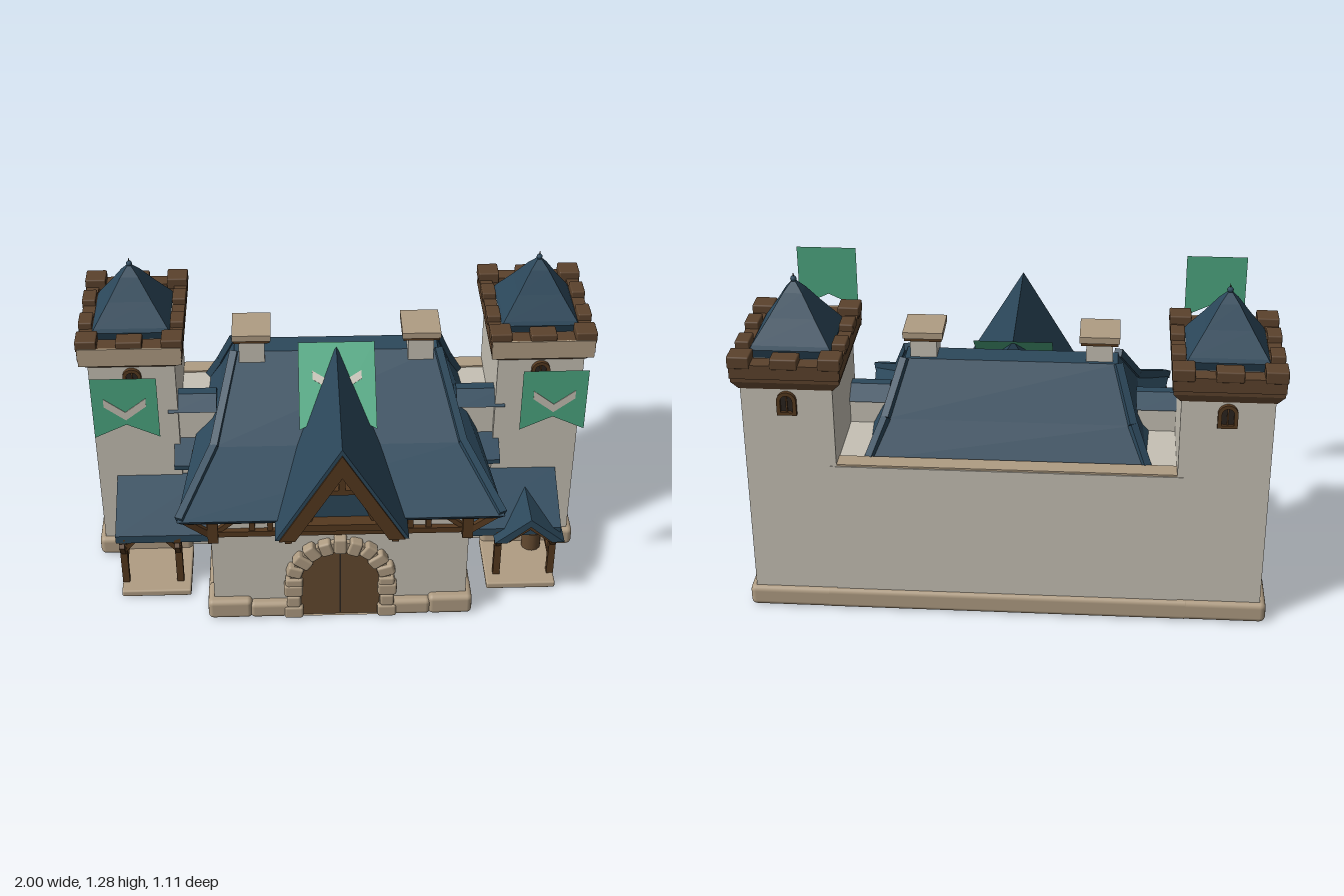
import * as THREE from 'three';
import { RoundedBoxGeometry } from 'three/addons/geometries/RoundedBoxGeometry.js';

const mat = (name, color, side = THREE.FrontSide) => {
  const m = new THREE.MeshStandardMaterial({ color, side });
  m.name = name;
  return m;
};

export function createModel() {
  const plaster = mat('plaster', 0xc6c1b5), stone = mat('stone', 0xb09d83);
  const slate = mat('slate roof', 0x2c485b), timber = mat('timber', 0x55391f);
  const rampart = mat('rampart stone', 0x5b422c), doorWood = mat('door wood', 0x644a30);
  const dark = mat('dark opening', 0x2b241f), cloth = mat('green cloth', 0x4ca680, THREE.DoubleSide);
  const model = new THREE.Group();
  model.name = 'gatehouse';

  const add = (parent, name, geo, m, x = 0, y = 0, z = 0) => {
    const mesh = new THREE.Mesh(geo, m);
    mesh.name = name;
    mesh.position.set(x, y, z);
    parent.add(mesh);
    return mesh;
  };
  // box given by its limits, optionally with rounded edges
  const box = (p, name, m, x0, x1, y0, y1, z0, z1, r = 0) => {
    const s = [x1 - x0, y1 - y0, z1 - z0];
    return add(p, name, r ? new RoundedBoxGeometry(...s, 2, r) : new THREE.BoxGeometry(...s), m,
      (x0 + x1) / 2, (y0 + y1) / 2, (z0 + z1) / 2);
  };
  // square timber between two points
  const beam = (p, name, m, a, b, w = 0.025) => {
    const A = new THREE.Vector3(...a), B = new THREE.Vector3(...b);
    const mesh = add(p, name, new THREE.BoxGeometry(w, w, A.distanceTo(B)), m);
    mesh.position.copy(A).add(B).multiplyScalar(0.5);
    mesh.lookAt(B);
    return mesh;
  };
  // flat-faced solid through four-cornered rings, lowest ring first
  const loft = (rings) => {
    const pos = [];
    const quad = (a, b, c, d) => pos.push(...a, ...b, ...c, ...a, ...c, ...d);
    for (let i = 0; i + 1 < rings.length; i++) {
      for (let j = 0; j < 4; j++) {
        const k = (j + 1) % 4;
        quad(rings[i][j], rings[i][k], rings[i + 1][k], rings[i + 1][j]);
      }
    }
    quad(...rings[rings.length - 1]);
    quad(...[...rings[0]].reverse());
    const g = new THREE.BufferGeometry();
    g.setAttribute('position', new THREE.Float32BufferAttribute(pos, 3));
    g.computeVertexNormals();
    return g;
  };
  const ring = (x, y, zf, zb, xb = x, yb = y) => [[-x, y, zf], [x, y, zf], [xb, yb, zb], [-xb, yb, zb]];
  const poly = (pts) => new THREE.Shape(pts.map(([x, y]) => new THREE.Vector2(x, y)));
  const extrude = (shape, depth) => new THREE.ExtrudeGeometry(shape, { depth, bevelEnabled: false, curveSegments: 10 });
  // round-headed opening, standing on y = 0
  const archShape = (r, h) => {
    const s = new THREE.Shape();
    s.moveTo(-r, 0); s.lineTo(r, 0); s.lineTo(r, h - r);
    s.absarc(0, h - r, r, 0, Math.PI, false);
    s.lineTo(-r, 0);
    return s;
  };
  const chevron = (w, y0, top, t, drop) => poly([[-w, y0], [-w + t, y0], [0, top - drop], [w - t, y0], [w, y0], [0, top]]);

  // main hall with its plinth and the rear curtain wall
  const hall = new THREE.Group(); hall.name = 'hall'; model.add(hall);
  box(hall, 'hallWalls', plaster, -0.5, 0.5, 0.01, 0.56, -0.5, 0.35);
  box(hall, 'curtainWall', plaster, -0.65, 0.65, 0.01, 0.62, -0.535, -0.07);
  box(hall, 'wallWalk', stone, -0.63, 0.63, 0.618, 0.627, -0.53, -0.46);
  box(hall, 'rearPlinth', stone, -0.7, 0.7, 0, 0.085, -0.55, -0.3, 0.02);
  box(hall, 'underside', stone, -0.5, 0.5, 0, 0.02, -0.5, 0.36);
  for (const s of [-1, 1]) {
    [[0.17, 0.36, 0.075], [0.35, 0.525, 0.09]].forEach(([a, b, h]) =>
      box(hall, 'frontPlinth', stone, Math.min(s * a, s * b), Math.max(s * a, s * b), 0, h, 0.25, 0.385, 0.02));
    box(hall, 'sidePlinth', stone, s * 0.5 - 0.025, s * 0.5 + 0.025, 0, 0.08, -0.06, 0.37, 0.02);
  }

  // arched gate with a surround of rough stones
  const gate = new THREE.Group(); gate.name = 'gate'; model.add(gate);
  add(gate, 'gateDoor', extrude(archShape(0.16, 0.335), 0.02), doorWood, 0, 0, 0.345);
  box(gate, 'doorGap', dark, -0.003, 0.003, 0.01, 0.33, 0.36, 0.368);
  const surround = archShape(0.2, 0.375);
  surround.holes.push(archShape(0.155, 0.33));
  add(gate, 'gateSurround', extrude(surround, 0.035), stone, 0, 0, 0.34);
  for (let i = 0; i <= 10; i++) {
    const a = Math.PI * i / 10, r = 0.182 + (i % 2) * 0.006;
    const v = add(gate, 'archStone', new RoundedBoxGeometry(0.062 + (i % 3) * 0.006, 0.05, 0.06, 1, 0.01), stone,
      Math.cos(a) * r, 0.175 + Math.sin(a) * r, 0.358);
    v.rotation.z = a;
  }
  for (const s of [-1, 1]) for (let i = 0; i < 3; i++)
    add(gate, 'jambStone', new RoundedBoxGeometry(i % 2 ? 0.055 : 0.075, 0.056, 0.065, 1, 0.01), stone, s * 0.185, 0.03 + i * 0.056, 0.36);

  // half-timbered band under the eaves
  const frame = new THREE.Group(); frame.name = 'timberFrame'; model.add(frame);
  box(frame, 'frontSill', timber, -0.51, 0.51, 0.415, 0.44, 0.34, 0.372);
  box(frame, 'frontPlate', timber, -0.58, 0.58, 0.52, 0.545, 0.35, 0.42);
  for (const s of [-1, 1]) {
    for (const x of [0.16, 0.27, 0.34]) box(frame, 'frontStud', timber, s * x - 0.011, s * x + 0.011, 0.43, 0.54, 0.34, 0.366);
    box(frame, 'cornerPost', timber, s * 0.49 - 0.02, s * 0.49 + 0.02, 0.4, 0.54, 0.345, 0.39);
    beam(frame, 'frontBrace', timber, [s * 0.47, 0.44, 0.357], [s * 0.36, 0.53, 0.357], 0.02);
    beam(frame, 'eaveBracket', timber, [s * 0.5, 0.43, 0.37], [s * 0.6, 0.53, 0.4], 0.025);
    beam(frame, 'gableBracket', timber, [s * 0.2, 0.42, 0.36], [s * 0.2, 0.535, 0.53], 0.028);
    beam(frame, 'gableBeam', timber, [s * 0.2, 0.53, 0.34], [s * 0.2, 0.53, 0.54], 0.025);
    box(frame, 'sideSill', timber, s * 0.505 - 0.012, s * 0.505 + 0.012, 0.425, 0.445, -0.05, 0.36);
    box(frame, 'sidePlate', timber, s * 0.54 - 0.04, s * 0.54 + 0.04, 0.52, 0.545, -0.02, 0.42);
    for (const z of [0.27, 0.15, 0.09]) box(frame, 'sideStud', timber, s * 0.505 - 0.01, s * 0.505 + 0.01, 0.43, 0.53, z - 0.012, z + 0.012);
    beam(frame, 'sideBrace', timber, [s * 0.507, 0.44, 0.34], [s * 0.507, 0.53, 0.28], 0.018);
  }

  // hipped main roof with flared eaves
  const roof = new THREE.Group(); roof.name = 'mainRoof'; model.add(roof);
  add(roof, 'roofSlopes', loft([
    ring(0.6, 0.53, 0.43, -0.45, 0.51, 0.57), ring(0.62, 0.555, 0.45, -0.46, 0.52, 0.61),
    ring(0.48, 0.69, 0.16, -0.37, 0.46, 0.74), ring(0.4, 0.93, -0.14, -0.24)]), slate);
  for (const s of [-1, 1]) {
    beam(roof, 'hipRidge', slate, [s * 0.61, 0.56, 0.44], [s * 0.48, 0.695, 0.16], 0.03);
    beam(roof, 'hipRidge', slate, [s * 0.48, 0.695, 0.16], [s * 0.4, 0.93, -0.14], 0.03);
    beam(roof, 'hipRidge', slate, [s * 0.515, 0.615, -0.45], [s * 0.46, 0.745, -0.37], 0.03);
    beam(roof, 'hipRidge', slate, [s * 0.46, 0.745, -0.37], [s * 0.4, 0.93, -0.24], 0.03);
    // chimney
    box(roof, 'chimneyShaft', plaster, s * 0.33 - 0.05, s * 0.33 + 0.05, 0.75, 1.015, -0.225, -0.105);
    box(roof, 'chimneyCap', stone, s * 0.33 - 0.075, s * 0.33 + 0.075, 1.015, 1.04, -0.25, -0.08);
    box(roof, 'chimneyBand', timber, s * 0.33 - 0.07, s * 0.33 + 0.07, 1.003, 1.016, -0.245, -0.085);
    // small roofs joining hall and tower
    const mid = s * 0.57;
    box(roof, 'linkWall', plaster, mid - 0.09, mid + 0.09, 0.5, 0.725, -0.18, -0.07);
    add(roof, 'linkRoof', extrude(poly([[-0.08, 0.715], [0.08, 0.715], [0.02, 0.765], [-0.02, 0.765]]), 0.19), slate,
      mid - 0.095, 0, -0.115).rotation.y = Math.PI / 2;
    add(roof, 'linkEave', extrude(poly([[-0.04, 0.49], [0.09, 0.49], [0.09, 0.58], [-0.04, 0.51]]), 0.16), slate,
      mid - 0.08, 0, 0).rotation.y = Math.PI / 2;
  }

  // front gable
  const gable = new THREE.Group(); gable.name = 'frontGable'; model.add(gable);
  add(gable, 'gableRoof', extrude(chevron(0.25, 0.54, 0.957, 0.04, 0.065), 0.67), slate, 0, 0, -0.12);
  add(gable, 'bargeBoards', extrude(chevron(0.235, 0.54, 0.932, 0.06, 0.1), 0.025), timber, 0, 0, 0.532);
  add(gable, 'gablePanel', extrude(poly([[-0.22, 0.54], [0.22, 0.54], [0, 0.91]]), 0.02), slate, 0, 0, 0.43);
  box(gable, 'gableTie', timber, -0.2, 0.2, 0.54, 0.57, 0.45, 0.5);
  box(gable, 'gableCollar', timber, -0.09, 0.09, 0.735, 0.757, 0.45, 0.53);
  for (const s of [-1, 1]) beam(gable, 'gableStrut', timber, [s * 0.13, 0.56, 0.465], [s * 0.05, 0.75, 0.465], 0.025);
  box(gable, 'kingPost', timber, -0.012, 0.012, 0.74, 0.9, 0.45, 0.53);

  // swallow-tailed banners with a plain V stripe
  const banner = (name, w, h) => {
    const g = new THREE.Group(); g.name = name; model.add(g);
    add(g, 'bannerCloth', new THREE.ShapeGeometry(poly([[-w, -h], [0, -h * 0.78], [w, -h], [w, 0], [-w, 0]])), cloth);
    const a = w * 0.64, y = -h * 0.33;
    add(g, 'bannerStripe', extrude(poly([[-a, y], [-a, y - 0.035], [0, y - 0.095], [a, y - 0.035], [a, y], [0, y - 0.06]]), 0.002), plaster, 0, 0, 0.002);
    return g;
  };
  for (const s of [-1, 1]) banner('towerBanner', 0.12, 0.26).position.set(s * 0.785, 1.135, 0.335);
  const roofBanner = banner('roofBanner', 0.15, 0.355);
  roofBanner.position.set(0, 0.965, -0.144);
  roofBanner.rotation.x = -0.895;

  // arched window facing +z, standing on y = 0
  const windowAt = (p, x, y, z, turn) => {
    const g = new THREE.Group(); g.name = 'window';
    const outer = archShape(0.036, 0.092);
    const hole = archShape(0.022, 0.066);
    outer.holes.push(new THREE.Path(hole.getPoints(8).map((v) => v.add(new THREE.Vector2(0, 0.012)))));
    add(g, 'windowFrame', extrude(outer, 0.018), timber);
    add(g, 'windowOpening', extrude(archShape(0.03, 0.085), 0.006), dark);
    box(g, 'windowBar', timber, -0.003, 0.003, 0.01, 0.08, 0, 0.012);
    g.position.set(x, y, z);
    g.rotation.y = turn;
    p.add(g);
  };

  // corner towers, built around their own centre
  for (const s of [-1, 1]) {
    const t = new THREE.Group(); t.name = s > 0 ? 'leftTower' : 'rightTower';
    t.position.set(s * 0.795, 0, -0.285);
    model.add(t);
    box(t, 'towerShaft', plaster, -0.168, 0.168, 0.01, 0.99, -0.247, 0.24);
    box(t, 'towerPlinth', stone, -0.192, 0.192, 0, 0.085, -0.265, 0.26, 0.022);
    add(t, 'corbel', loft([ring(0.172, 0.935, 0.245, -0.25), ring(0.198, 0.965, 0.268, -0.262), ring(0.198, 0.985, 0.268, -0.262)]), rampart);
    box(t, 'frontBand', stone, -0.198, 0.198, 0.958, 1.035, 0.266, 0.274);
    box(t, 'towerDeck', plaster, -0.16, 0.16, 0.985, 1.0, -0.2, 0.2);
    for (const e of [-1, 1]) {
      box(t, 'parapetSide', rampart, e * 0.176 - 0.025, e * 0.176 + 0.025, 0.98, 1.035, -0.264, 0.27);
      box(t, 'parapetEnd', rampart, -0.198, 0.198, 0.98, 1.035, e * 0.235 - 0.032, e * 0.235 + 0.032);
      for (const z of [-0.085, 0.085]) box(t, 'merlon', rampart, e * 0.178 - 0.027, e * 0.178 + 0.027, 1.02, 1.062, z - 0.042, z + 0.042, 0.006);
      box(t, 'merlon', rampart, -0.05, 0.05, 1.02, 1.062, e * 0.236 - 0.034, e * 0.236 + 0.034, 0.006);
      for (const f of [-1, 1]) box(t, 'cornerMerlon', rampart, e * 0.164 - 0.041, e * 0.164 + 0.041, 1.02, 1.067, f * 0.228 - 0.042, f * 0.228 + 0.042, 0.006);
    }
    const cap = (r, y) => ring(r, y, r + 0.01, -r + 0.01);
    add(t, 'towerRoof', loft([cap(0.135, 0.99), cap(0.15, 1.035), cap(0.142, 1.05), cap(0.085, 1.135), cap(0.035, 1.215), cap(0.008, 1.25)]), slate);
    add(t, 'finial', new THREE.ConeGeometry(0.008, 0.04, 6), dark, 0, 1.265, 0.01);
    add(t, 'finialKnob', new THREE.SphereGeometry(0.012, 8, 6), slate, 0, 1.258, 0.01);
    windowAt(t, 0, 0.835, 0.238, 0);
    windowAt(t, 0, 0.835, -0.245, Math.PI);
    windowAt(t, s * 0.166, 0.835, -0.02, s * Math.PI / 2);
  }

  // side porches: lean-to roof, posts and rails
  for (const s of [-1, 1]) {
    const p = new THREE.Group(); p.name = s > 0 ? 'leftPorch' : 'rightPorch'; model.add(p);
    const X = (a, b) => [Math.min(s * a, s * b), Math.max(s * a, s * b)];
    box(p, 'porchFloor', stone, ...X(0.6, 0.88), 0, 0.03, -0.05, 0.24, 0.008);
    add(p, 'leanToRoof', extrude(poly([[-0.2, 0.25], [0.05, 0.36], [0.05, 0.405], [-0.2, 0.285]]), 0.39), slate,
      X(0.5, 0.89)[0], 0, 0).rotation.y = Math.PI / 2;
    for (const x of [0.645, 0.865]) {
      box(p, 'porchPost', timber, s * x - 0.014, s * x + 0.014, 0.03, 0.26, 0.155, 0.183);
      beam(p, 'porchTie', timber, [s * x, 0.255, -0.05], [s * x, 0.255, 0.2], 0.026);
      beam(p, 'porchBrace', timber, [s * x, 0.19, 0.17], [s * x + s * (x < 0.7 ? 0.05 : -0.05), 0.25, 0.17], 0.02);
      beam(p, 'postBrace', timber, [s * x, 0.18, 0.17], [s * x, 0.25, 0.22], 0.02);
    }
    beam(p, 'porchLintel', timber, [s * 0.62, 0.255, 0.17], [s * 0.89, 0.255, 0.17], 0.03);
    beam(p, 'porchRail', timber, [s * 0.868, 0.09, -0.04], [s * 0.868, 0.09, 0.16], 0.018);
    if (s > 0) {
      // cross gable, bare-stone patch and barrel
      add(p, 'porchGable', extrude(chevron(0.14, 0.25, 0.365, 0.05, 0.035), 0.27), slate, 0.76, 0, -0.02);
      add(p, 'porchGableBoards', extrude(chevron(0.125, 0.245, 0.338, 0.045, 0.03), 0.015), timber, 0.76, 0, 0.225);
      add(p, 'stonePatch', extrude(poly([[-0.05, 0.03], [0.06, 0.03], [0.03, 0.12], [0.02, 0.19], [-0.02, 0.18], [-0.01, 0.11]]), 0.008), stone, 0.75, 0, -0.044);
      add(p, 'barrel', new THREE.CylinderGeometry(0.04, 0.04, 0.08, 12), doorWood, 0.81, 0.07, 0.0);
    } else {
      box(p, 'porchDoor', doorWood, -0.85, -0.66, 0.03, 0.24, -0.05, -0.03);
    }
  }
  return model;
}
